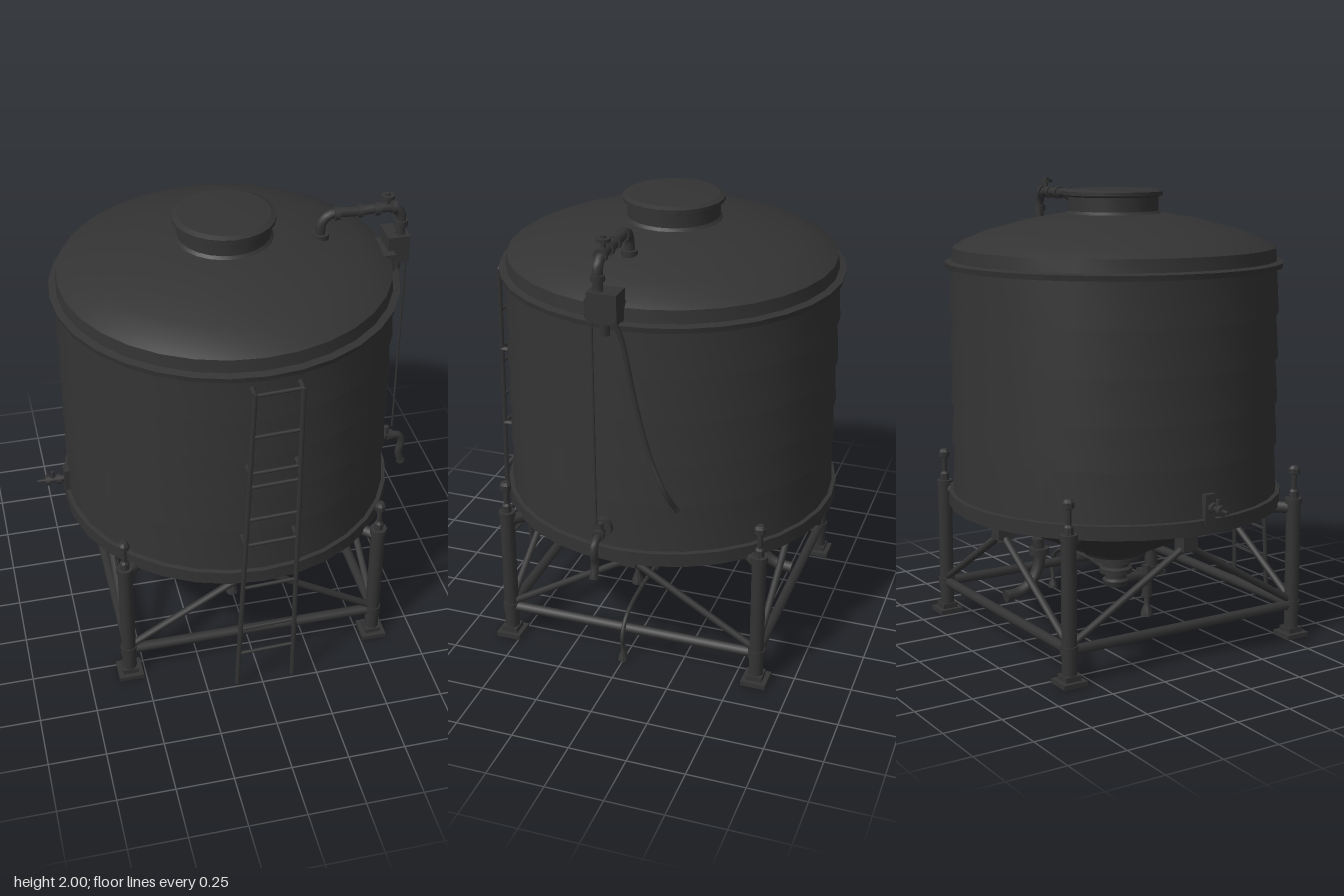
import * as THREE from 'three';
import { toCreasedNormals } from 'three/addons/utils/BufferGeometryUtils.js';

const steel = new THREE.MeshStandardMaterial({ color: 0x333333 });
steel.name = 'dark steel';
const CX = 0.003, CZ = -0.022; // tank axis
const V = (x, y, z) => new THREE.Vector3(x, y, z);

export function createModel() {
  const root = new THREE.Group();
  root.name = 'waterTank';

  const add = (name, geo, x = 0, y = 0, z = 0) => {
    const mesh = new THREE.Mesh(geo, steel);
    mesh.name = name;
    mesh.position.set(x, y, z);
    root.add(mesh);
    return mesh;
  };
  const box = (name, w, h, d, x, y, z) => add(name, new THREE.BoxGeometry(w, h, d), x, y, z);
  // turned part from [radius, height] pairs, listed bottom to top
  const lathe = (name, pts, seg, x, y, z) => add(name,
    toCreasedNormals(new THREE.LatheGeometry(pts.map(p => new THREE.Vector2(p[0], p[1])), seg), 0.4), x, y, z);
  // straight round bar between two points
  const bar = (name, a, b, r, seg = 8) => {
    const dir = b.clone().sub(a);
    const mesh = add(name, new THREE.CylinderGeometry(r, r, dir.length(), seg));
    mesh.position.copy(a).add(b).multiplyScalar(0.5);
    mesh.quaternion.setFromUnitVectors(V(0, 1, 0), dir.normalize());
    return mesh;
  };
  // bent pipe or hose with capped ends
  const pipe = (name, pts, r, steps = 20) => {
    const curve = new THREE.CatmullRomCurve3(pts, false, 'centripetal');
    add(name, new THREE.TubeGeometry(curve, steps, r, 8));
    [[0, -1], [1, 1]].forEach(([t, s]) => {
      const tip = curve.getPoint(t), tan = curve.getTangent(t).multiplyScalar(s * 0.004);
      bar(name + 'End', tip.clone().sub(tan), tip.clone().add(tan), r * 1.15);
    });
  };

  // hopper bottom with the lower rim
  lathe('hopperBottom', [[0, 0.33], [0.14, 0.335], [0.15, 0.35], [0.3, 0.42], [0.45, 0.488], [0.6, 0.55],
    [0.7, 0.585], [0.742, 0.588], [0.742, 0.648], [0.715, 0.652]], 32, CX, 0, CZ);

  // shell of overlapping bands, each slightly wider at its foot
  const seams = [0.645, 0.865, 1.05, 1.245, 1.44, 1.64];
  const shell = [];
  for (let i = 0; i < 5; i++) shell.push([0.724, seams[i]], [0.712, seams[i + 1]]);
  lathe('shellBands', shell, 32, CX, 0, CZ);

  // upper rim, domed roof and hatch
  lathe('roof', [[0.7, 1.632], [0.738, 1.635], [0.742, 1.658], [0.712, 1.665], [0.706, 1.72], [0.66, 1.748],
    [0.57, 1.785], [0.46, 1.815], [0.36, 1.84], [0.23, 1.862], [0, 1.87]], 32, CX, 0, CZ);
  lathe('hatch', [[0.215, 1.855], [0.197, 1.875], [0.197, 1.935], [0.217, 1.942], [0.217, 1.958],
    [0.195, 1.968], [0, 1.972]], 24, CX, 0, CZ - 0.005);

  // outlet flanges and valve under the hopper
  lathe('outlet', [[0, 0.175], [0.055, 0.18], [0.062, 0.205], [0.05, 0.215], [0.05, 0.235], [0.075, 0.24],
    [0.075, 0.262], [0.06, 0.27], [0.06, 0.295], [0.105, 0.3], [0.105, 0.325], [0.14, 0.328], [0.14, 0.35]],
    16, CX, 0, CZ + 0.007);
  pipe('outletElbow', [V(0, 0.2, 0.0), V(0, 0.2, 0.09), V(0, 0.19, 0.135), V(0, 0.16, 0.152), V(0, 0.1, 0.153)], 0.024);
  lathe('spout', [[0, 0], [0.03, 0.004], [0.025, 0.03], [0.012, 0.06], [0.012, 0.12]], 10, 0, 0, 0.153);
  bar('spoutKnob', V(0, 0.2, 0.153), V(0, 0.245, 0.153), 0.015);

  // drain hose running out to the side
  pipe('drainHose', [V(0.17, 0.245, -0.01), V(0.35, 0.235, 0), V(0.53, 0.215, 0), V(0.59, 0.18, 0),
    V(0.62, 0.12, 0), V(0.61, 0.07, 0)], 0.01);
  lathe('drainNozzle', [[0, 0], [0.024, 0.004], [0.02, 0.025], [0.01, 0.05], [0.01, 0.085]], 10, 0.61, 0, 0);
  bar('drainStart', V(0.05, 0.23, -0.015), V(0.21, 0.243, -0.01), 0.014);

  // curved drain at the back of the hopper
  pipe('rearDrain', [V(-0.02, 0.46, -0.43), V(-0.02, 0.36, -0.425), V(-0.02, 0.28, -0.46), V(-0.02, 0.235, -0.52),
    V(-0.02, 0.225, -0.59)], 0.026);
  bar('rearDrainCollar', V(-0.02, 0.39, -0.425), V(-0.02, 0.42, -0.425), 0.045, 12);

  // stand: legs, feet, anchor posts
  const LX = 0.567, LZ = 0.572;
  for (const sx of [-1, 1]) for (const sz of [-1, 1]) {
    const x = sx * LX, z = CZ + sz * LZ;
    box('foot', 0.11, 0.02, 0.11, x, 0.01, z);
    box('footBlock', 0.07, 0.025, 0.07, x, 0.03, z);
    bar('leg', V(x, 0.02, z), V(x, 0.615, z), 0.032, 12);
    bar('legCollar', V(x, 0.125, z), V(x, 0.165, z), 0.037, 12);
    bar('legCap', V(x, 0.605, z), V(x, 0.63, z), 0.037, 12);
    bar('rimBracket', V(x, 0.585, z), V(x * 0.85, 0.585, CZ + sz * LZ * 0.85), 0.026);
    lathe('anchorPost', [[0.022, 0.625], [0.02, 0.66], [0.012, 0.67], [0.012, 0.735], [0.025, 0.74],
      [0.025, 0.762], [0.015, 0.775], [0, 0.777]], 8, x, 0, z);
  }

  // lower beams and diagonal braces on the four sides
  const corners = [[-LX, -LZ], [LX, -LZ], [LX, LZ], [-LX, LZ]];
  corners.forEach((a, i) => {
    const b = corners[(i + 1) % 4];
    const mx = (a[0] + b[0]) / 2, mz = CZ + (a[1] + b[1]) / 2;
    bar('lowerBeam', V(a[0], 0.143, CZ + a[1]), V(b[0], 0.143, CZ + b[1]), 0.023);
    for (const c of [a, b]) bar('brace', V(c[0], 0.16, CZ + c[1]), V(mx, 0.5, mz), 0.016);
    box('braceBracket', 0.07, 0.07, 0.07, mx, 0.515, mz);
  });

  // ladder: two leaning rails, rungs and hooks
  const rail = { left: [V(-0.12, 0.03, 0.757), V(-0.05, 1.59, 0.73)], right: [V(0.132, 0.03, 0.757), V(0.145, 1.59, 0.73)] };
  const at = (side, y) => rail[side][0].clone().lerp(rail[side][1], (y - 0.03) / 1.56);
  for (const side of ['left', 'right']) {
    bar('ladderRail', ...rail[side], 0.011, 6);
    for (const y of [0.83, 1.2, 1.585]) {
      const p = at(side, y);
      bar('ladderHook', p, V(p.x, y, 0.68), 0.012, 6);
    }
  }
  for (const y of [0.21, 0.355, 0.59, 0.825, 0.96, 1.13, 1.2, 1.38, 1.58])
    bar('ladderRung', at('left', y), at('right', y + 0.008), 0.008, 6);

  // filler pipe over the roof with collars and valve wheel
  const pz = 0.025;
  pipe('fillerPipe', [V(0.405, 1.81, pz), V(0.407, 1.89, pz), V(0.44, 1.928, pz), V(0.56, 1.93, pz),
    V(0.71, 1.928, pz), V(0.75, 1.9, pz), V(0.757, 1.8, pz)], 0.022, 32);
  for (const x of [0.47, 0.57, 0.645, 0.72]) bar('pipeCollar', V(x - 0.011, 1.93, pz), V(x + 0.011, 1.93, pz), 0.029, 10);
  bar('pipeFoot', V(0.405, 1.815, pz), V(0.405, 1.845, pz), 0.036, 10);
  bar('pipeDropCollar', V(0.756, 1.84, pz), V(0.756, 1.865, pz), 0.03, 10);
  bar('valveStem', V(0.69, 1.93, pz), V(0.69, 1.98, pz), 0.011);
  bar('valveWheel', V(0.69, 1.975, pz), V(0.69, 1.99, pz), 0.03, 10);
  bar('valveNut', V(0.69, 1.985, pz), V(0.69, 2.0, pz), 0.012);

  // control box with its bracket, float rod and hose
  box('controlBox', 0.095, 0.125, 0.125, 0.744, 1.738, 0.0);
  box('boxBracket', 0.06, 0.1, 0.16, 0.69, 1.69, 0.02);
  bar('boxOutlet', V(0.757, 1.62, 0.0), V(0.757, 1.69, 0.0), 0.022);
  bar('floatRod', V(0.785, 0.78, 0.043), V(0.785, 1.7, 0.043), 0.005, 6);
  pipe('overflowHose', [V(0.785, 1.69, -0.05), V(0.775, 1.62, -0.075), V(0.755, 1.35, -0.12), V(0.745, 1.1, -0.18),
    V(0.755, 0.96, -0.245), V(0.715, 0.87, -0.28)], 0.011);

  // bent tap on the left side
  bar('tapFlange', V(0.71, 0.74, 0.035), V(0.745, 0.74, 0.035), 0.042, 10);
  pipe('sideTap', [V(0.71, 0.74, 0.035), V(0.78, 0.725, 0.035), V(0.825, 0.715, 0.035), V(0.84, 0.675, 0.035),
    V(0.83, 0.62, 0.035), V(0.845, 0.56, 0.035)], 0.018);
  bar('tapCollar', V(0.77, 0.727, 0.035), V(0.79, 0.724, 0.035), 0.026);
  bar('tapHandle', V(0.76, 0.73, 0.035), V(0.76, 0.775, 0.035), 0.014);

  // small spigot on the right side
  box('spigotPlate', 0.03, 0.13, 0.05, -0.725, 0.69, CZ);
  bar('spigotBody', V(-0.82, 0.702, CZ), V(-0.72, 0.702, CZ), 0.014);
  bar('spigotTip', V(-0.86, 0.702, CZ), V(-0.82, 0.702, CZ), 0.008);
  for (const x of [-0.815, -0.765]) bar('spigotCollar', V(x - 0.01, 0.702, CZ), V(x + 0.01, 0.702, CZ), 0.024);
  bar('spigotLever', V(-0.79, 0.702, CZ), V(-0.79, 0.745, CZ), 0.009);

  return root;
}
